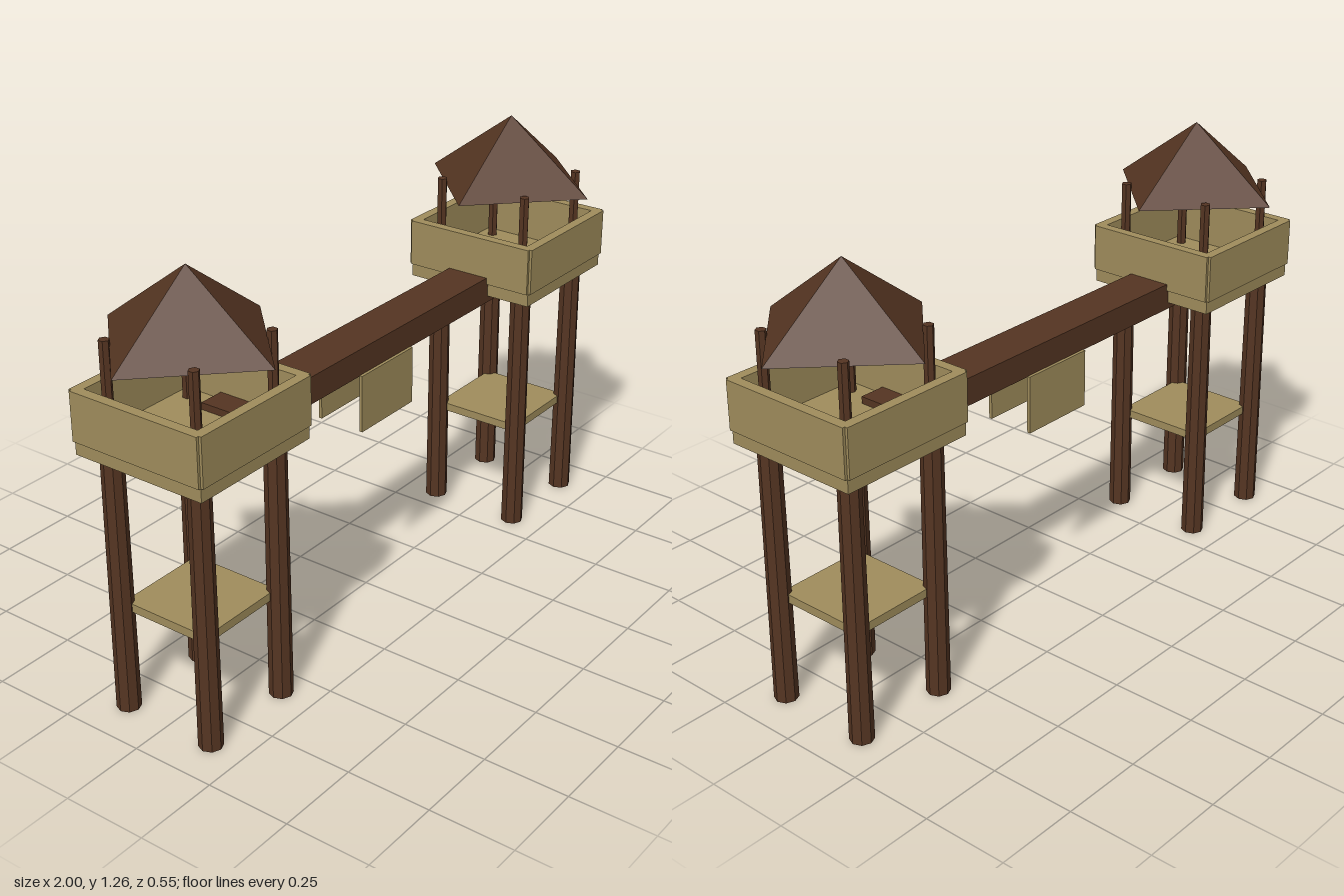
import * as THREE from 'three';

export function createModel() {
  const model = new THREE.Group();
  model.name = 'twinWatchtowers';

  const darkWood = new THREE.MeshStandardMaterial({ color: 0x553522, flatShading: true });
  darkWood.name = 'darkWood';
  const paleWood = new THREE.MeshStandardMaterial({ color: 0xa08d5c, flatShading: true });
  paleWood.name = 'paleWood';

  const add = (parent, name, geometry, material, x, y, z) => {
    const mesh = new THREE.Mesh(geometry, material);
    mesh.name = name;
    mesh.position.set(x, y, z);
    parent.add(mesh);
    return mesh;
  };
  // Box given by its bottom and top heights
  const box = (parent, name, material, w, d, y0, y1, x = 0, z = 0) =>
    add(parent, name, new THREE.BoxGeometry(w, y1 - y0, d), material, x, (y0 + y1) / 2, z);

  function createTower() {
    const tower = new THREE.Group();

    // Legs below the platform and thin roof posts above it
    for (const x of [-0.145, 0.145]) {
      for (const z of [-0.145, 0.145]) {
        add(tower, 'leg', new THREE.CylinderGeometry(0.031, 0.034, 0.78, 8), darkWood, x, 0.39, z);
        add(tower, 'roofPost', new THREE.CylinderGeometry(0.015, 0.015, 0.28, 6), darkWood, x, 0.94, z);
      }
    }

    // Lower shelf and upper platform floor
    box(tower, 'shelf', paleWood, 0.28, 0.28, 0.305, 0.33);
    box(tower, 'platformFloor', paleWood, 0.414, 0.414, 0.77, 0.81);

    // Parapet walls, standing slightly proud of the floor
    for (const s of [-1, 1]) {
      box(tower, 'parapetWall', paleWood, 0.414, 0.03, 0.81, 0.95, 0, s * 0.2);
      box(tower, 'parapetWall', paleWood, 0.03, 0.414, 0.81, 0.95, s * 0.2, 0);
    }

    // Four-sided roof with its corners on the axes
    add(tower, 'roof', new THREE.ConeGeometry(0.273, 0.205, 4), darkWood, 0, 1.1625, 0);
    return tower;
  }

  for (const side of [-1, 1]) {
    const tower = createTower();
    tower.name = side > 0 ? 'leftTower' : 'rightTower';
    tower.position.x = side * 0.727;
    model.add(tower);
  }

  // Bridge beam with a hanging board on either side
  box(model, 'bridge', darkWood, 1.236, 0.134, 0.75, 0.83);
  for (const s of [-1, 1]) {
    box(model, 'hangingBoard', paleWood, 0.24, 0.01, 0.58, 0.752, 0, s * 0.071);
  }

  return model;
}
